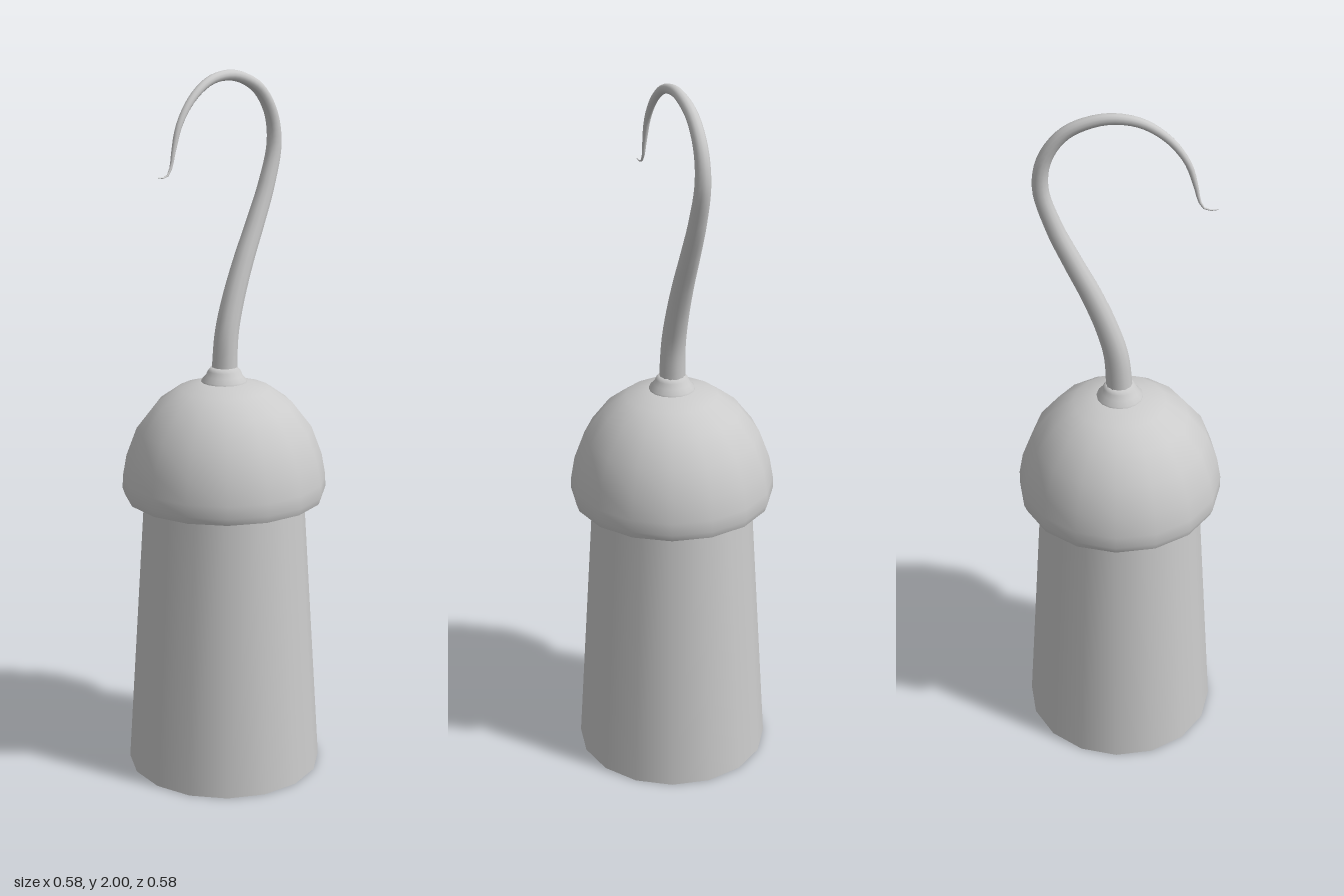
import * as THREE from 'three';

const material = () => new THREE.MeshStandardMaterial({ color: 0xcccccc, side: THREE.DoubleSide });

function addPart(group, name, geometry) {
  const mesh = new THREE.Mesh(geometry, material());
  mesh.name = name;
  group.add(mesh);
  return mesh;
}

// Turned part from [radius, height] pairs, listed bottom to top
const turned = (profile) =>
  new THREE.LatheGeometry(profile.map(([r, y]) => new THREE.Vector2(r, y)), 16);

// Tube along a curve whose radius follows the curve parameter
function taperedTube(curve, radiusAt, steps, sides) {
  const geometry = new THREE.TubeGeometry(curve, steps, 1, sides);
  const pos = geometry.attributes.position;
  const p = new THREE.Vector3();
  for (let i = 0; i <= steps; i++) {
    const centre = curve.getPointAt(i / steps);
    const radius = radiusAt(i / steps);
    for (let j = 0; j <= sides; j++) {
      const k = i * (sides + 1) + j;
      p.fromBufferAttribute(pos, k).sub(centre).multiplyScalar(radius).add(centre);
      pos.setXYZ(k, p.x, p.y, p.z);
    }
  }
  return geometry;
}

export function createModel() {
  const group = new THREE.Group();

  // Tapered sleeve with a closed bottom
  const sleeve = addPart(group, 'sleeve', new THREE.CylinderGeometry(0.227, 0.28, 0.83, 16));
  sleeve.position.y = 0.415;

  // Domed cap overhanging the sleeve, with a flat underside
  addPart(group, 'cap', turned([
    [0.282, 0.815], [0.289, 0.835], [0.288, 0.87], [0.277, 0.932], [0.247, 1.012],
    [0.192, 1.083], [0.13, 1.127], [0.065, 1.146], [0, 1.15],
  ]));
  addPart(group, 'capUnderside', turned([[0.2, 0.815], [0.282, 0.815]]));

  // Small stepped collar around the foot of the hook
  addPart(group, 'collar', turned([
    [0.065, 1.14], [0.064, 1.151], [0.052, 1.163], [0.046, 1.177], [0.037, 1.188], [0, 1.19],
  ]));

  // Hook path as [z, y]: leans back, arches over and flicks forward at the tip
  const path = [
    [0, 1.16], [-0.01, 1.28], [-0.035, 1.37], [-0.077, 1.475], [-0.125, 1.575],
    [-0.172, 1.68], [-0.203, 1.79], [-0.19, 1.873], [-0.14, 1.942], [-0.07, 1.977],
    [-0.008, 1.986], [0.06, 1.973], [0.125, 1.93], [0.172, 1.867], [0.194, 1.8],
    [0.205, 1.757], [0.222, 1.736], [0.252, 1.737],
  ].map(([z, y]) => new THREE.Vector3(0, y, z));
  const curve = new THREE.CatmullRomCurve3(path);
  const radiusAt = (t) => t < 0.9
    ? THREE.MathUtils.lerp(0.037, 0.008, t / 0.9)
    : THREE.MathUtils.lerp(0.008, 0.001, (t - 0.9) / 0.1);
  addPart(group, 'hook', taperedTube(curve, radiusAt, 72, 12));

  return group;
}
